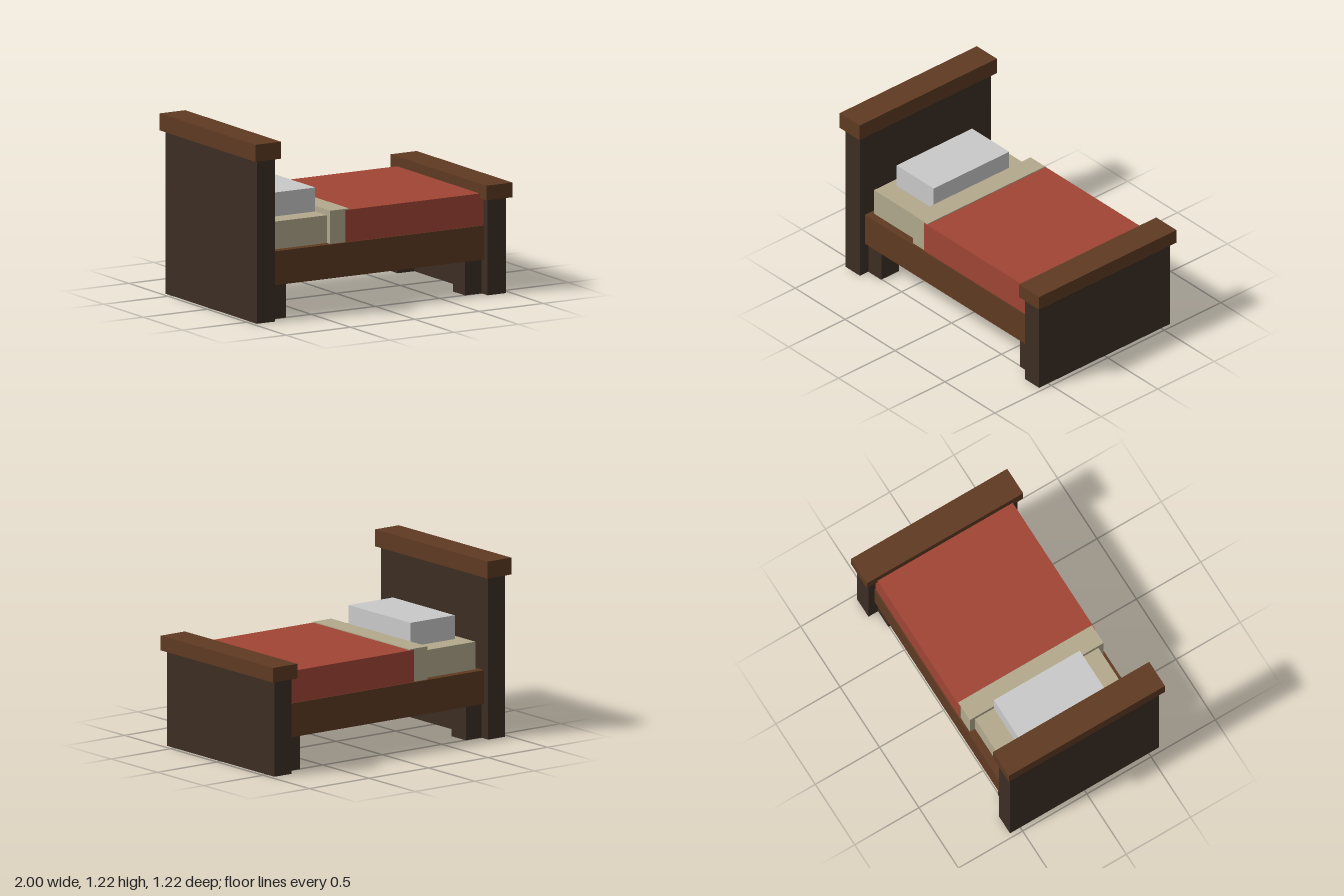
import * as THREE from 'three';

const mat = (name, color) => {
  const m = new THREE.MeshStandardMaterial({ color });
  m.name = name;
  return m;
};

export function createModel() {
  const darkWood = mat('dark wood', 0x3c2d23);
  const wood = mat('brown wood', 0x5e3a22);
  const linen = mat('beige linen', 0xb2a98d);
  const red = mat('red blanket', 0xa04535);
  const white = mat('pale grey pillow', 0xc9c9c9);

  const bed = new THREE.Group();
  bed.name = 'bed';

  // Box between two x and two y limits, with a z range (mirrored half width by default)
  const box = (name, material, x0, x1, y0, y1, z1, z0 = -z1) => {
    const mesh = new THREE.Mesh(new THREE.BoxGeometry(x1 - x0, y1 - y0, z1 - z0), material);
    mesh.position.set((x0 + x1) / 2, (y0 + y1) / 2, (z0 + z1) / 2);
    mesh.name = name;
    bed.add(mesh);
  };

  // End boards with overhanging caps
  box('headboard', darkWood, -0.97, -0.828, 0, 1.105, 0.58);
  box('headboardCap', wood, -1, -0.8, 1.105, 1.22, 0.608);
  box('footboard', darkWood, 0.824, 0.968, 0, 0.65, 0.58);
  box('footboardCap', wood, 0.797, 1, 0.65, 0.75, 0.608);

  // Frame and the four inner legs
  box('frame', wood, -0.828, 0.824, 0.235, 0.465, 0.535);
  for (const [z0, z1] of [[0.35, 0.505], [-0.505, -0.35]]) {
    box('headLeg', darkWood, -0.828, -0.698, 0, 0.235, z1, z0);
    box('footLeg', darkWood, 0.694, 0.824, 0, 0.235, z1, z0);
  }

  // Bedding
  box('mattress', linen, -0.798, 0.8, 0.465, 0.653, 0.48);
  box('foldedSheet', linen, -0.364, -0.217, 0.465, 0.69, 0.521);
  box('blanket', red, -0.248, 0.824, 0.465, 0.683, 0.526);
  box('pillow', white, -0.738, -0.366, 0.653, 0.815, 0.334);

  return bed;
}
